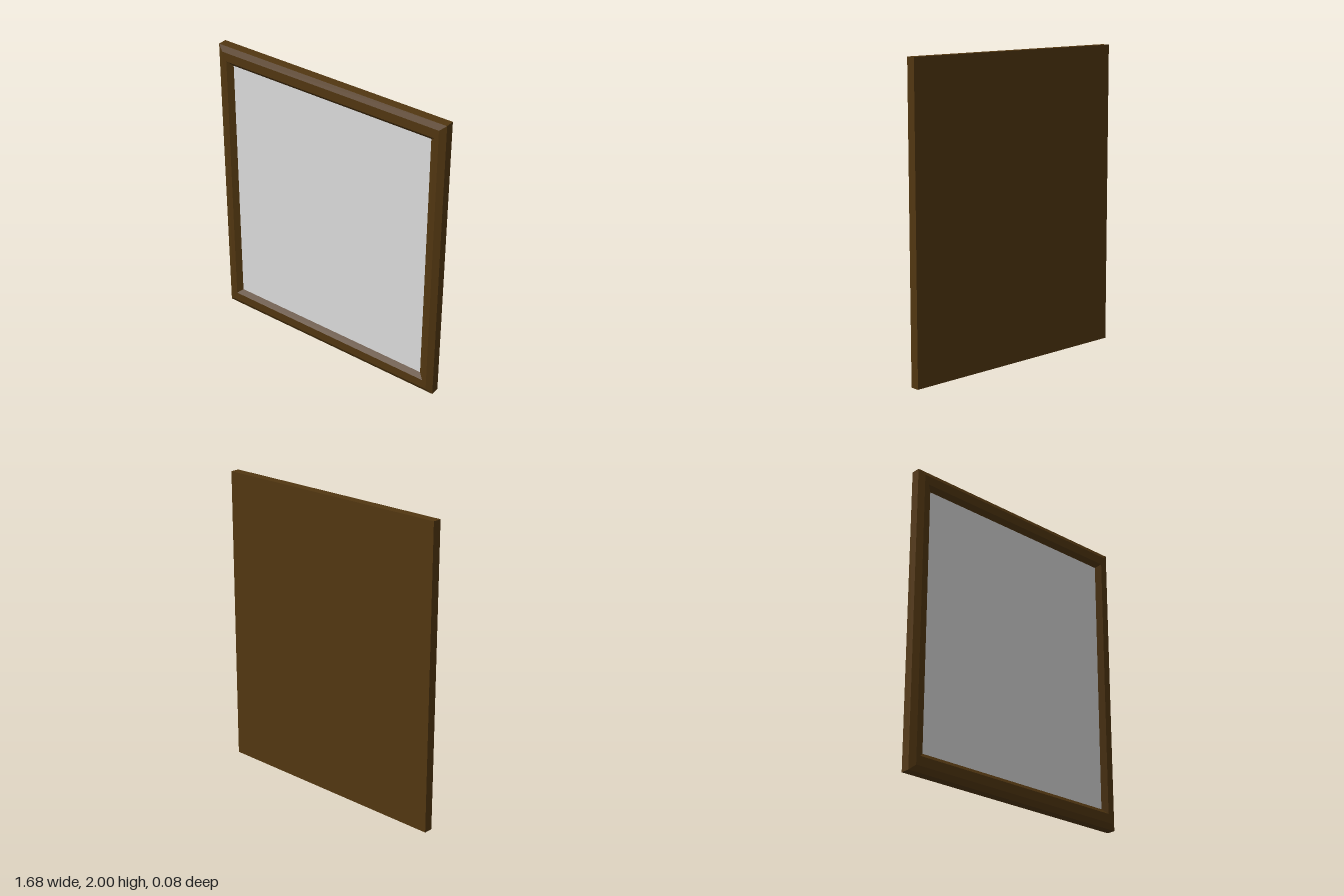
import * as THREE from 'three';

// Mitred rectangular rings: [half width, half height, z], from the back rim round to the glass
const OUTER = [[0.84, 1, -0.04], [0.84, 1, 0.02], [0.80, 0.965, 0.04], [0.77, 0.905, 0.04], [0.735, 0.875, 0.012]];
const CORNERS = [[-1, -1], [1, -1], [1, 1], [-1, 1]];

// One rail: the strip of quads between two neighbouring corners, across all rings
function railGeometry(side) {
  const a = CORNERS[side], b = CORNERS[(side + 1) % 4];
  const at = (c, r) => [c[0] * r[0], c[1] * r[1], r[2]];
  const pos = [];
  for (let i = 0; i < OUTER.length - 1; i++) {
    const p = at(a, OUTER[i]), q = at(b, OUTER[i]);
    const r = at(b, OUTER[i + 1]), s = at(a, OUTER[i + 1]);
    pos.push(...p, ...q, ...r, ...p, ...r, ...s);
  }
  const g = new THREE.BufferGeometry();
  g.setAttribute('position', new THREE.Float32BufferAttribute(pos, 3));
  g.computeVertexNormals();
  return g;
}

export function createModel() {
  const wood = new THREE.MeshStandardMaterial({ color: 0x523711 });
  wood.name = 'dark wood';
  const glass = new THREE.MeshStandardMaterial({ color: 0xdedede });
  glass.name = 'pale glass';

  const model = new THREE.Group();
  model.name = 'framedPane';
  const add = (name, geometry, material, z = 0) => {
    const mesh = new THREE.Mesh(geometry, material);
    mesh.name = name;
    mesh.position.set(0, 1, z);
    model.add(mesh);
    return mesh;
  };

  // Bevelled frame
  ['bottomRail', 'leftRail', 'topRail', 'rightRail'].forEach((name, i) => add(name, railGeometry(i), wood));

  // Closed back
  add('backPanel', new THREE.PlaneGeometry(1.68, 2), wood, -0.04).rotation.y = Math.PI;

  // Pane inside the frame
  add('pane', new THREE.PlaneGeometry(1.47, 1.75), glass, 0.012);
  return model;
}
